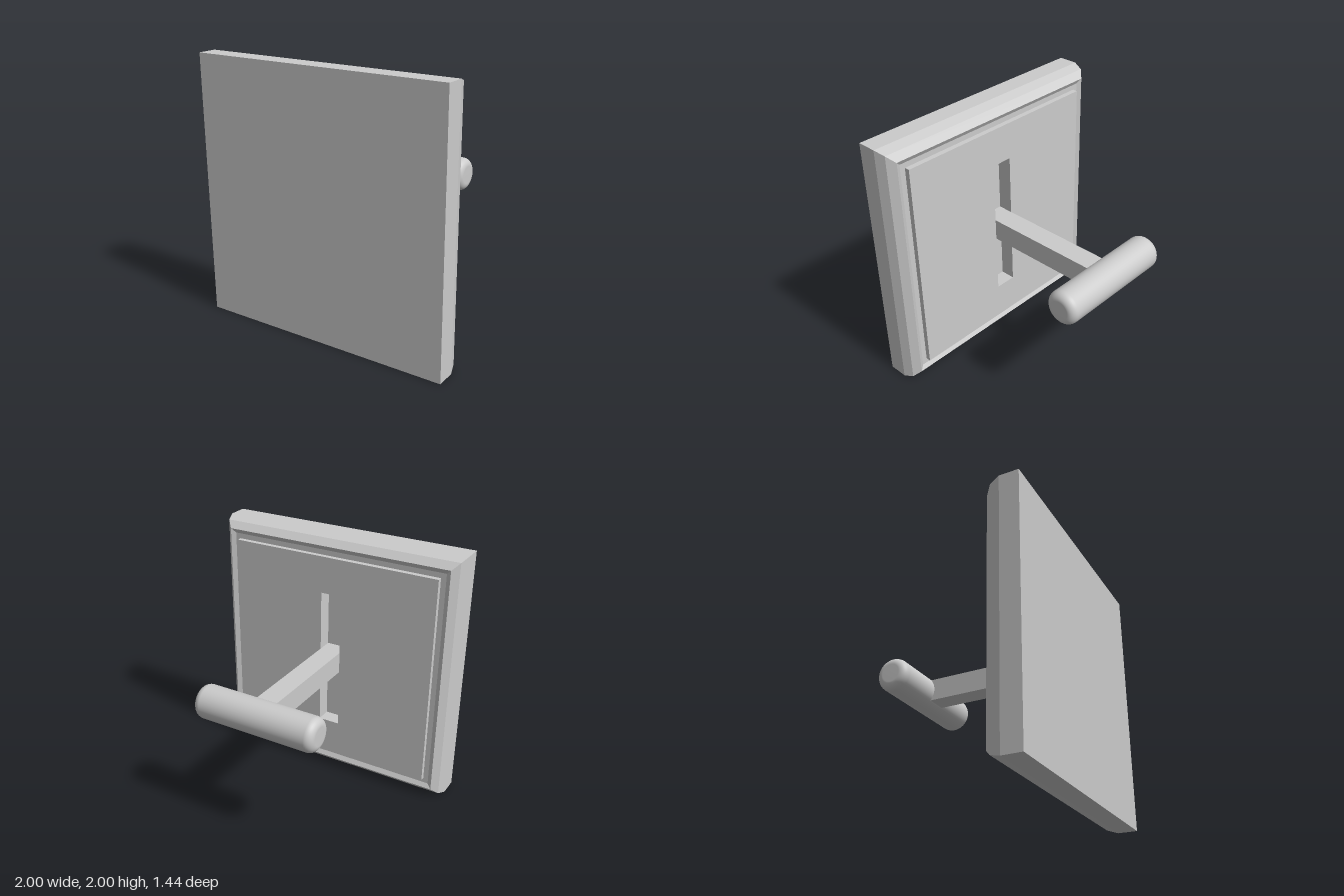
import * as THREE from 'three';

export function createModel() {
  const model = new THREE.Group();
  const material = new THREE.MeshStandardMaterial({ color: 0xcccccc });
  const add = (name, geometry, x, y, z) => {
    const mesh = new THREE.Mesh(geometry, material);
    mesh.name = name;
    mesh.position.set(x, y, z);
    model.add(mesh);
  };

  // Square plate: [half width, z] profile swept around four sides,
  // with a bevelled back rim and a shallow groove around the panel
  const profile = [[0, 0.72], [1, 0.72], [1, 0.57], [0.975, 0.49], [0.925, 0.44], [0.89, 0.46], [0.84, 0.46]]
    .map(([half, z]) => new THREE.Vector2(half * Math.SQRT2, -z));
  const plate = new THREE.LatheGeometry(profile, 4).rotateY(Math.PI / 4).rotateX(-Math.PI / 2).toNonIndexed();
  plate.computeVertexNormals();
  add('plate', plate, 0, 1, 0);

  // Raised back panel with a tall slot
  const rectangle = (Type, w, h) => new Type([
    new THREE.Vector2(-w, -h), new THREE.Vector2(w, -h),
    new THREE.Vector2(w, h), new THREE.Vector2(-w, h),
  ]);
  const panel = rectangle(THREE.Shape, 0.85, 0.85);
  panel.holes.push(rectangle(THREE.Path, 0.085, 0.56));
  add('panel', new THREE.ExtrudeGeometry(panel, { depth: 0.12, bevelEnabled: false }), 0, 1, 0.42);
  add('slotFloor', new THREE.BoxGeometry(0.2, 1.16, 0.04), 0, 1, 0.56);

  // Square bar running from the slot into the handle
  add('bar', new THREE.BoxGeometry(0.166, 0.17, 1.1), 0, 1, -0.01);

  // Round crosswise handle with softened ends
  const radius = 0.13, half = 0.49, round = 0.06;
  const points = [new THREE.Vector2(0, -half)];
  for (const end of [-1, 1]) {
    for (let i = 0; i <= 8; i++) {
      const a = (end < 0 ? i - 8 : i) / 8 * Math.PI / 2;
      points.push(new THREE.Vector2(
        radius - round + round * Math.cos(a),
        end * (half - round) + round * Math.sin(a)));
    }
  }
  points.push(new THREE.Vector2(0, half));
  add('handle', new THREE.LatheGeometry(points, 48).rotateZ(Math.PI / 2), 0, 1, -0.593);

  return model;
}
